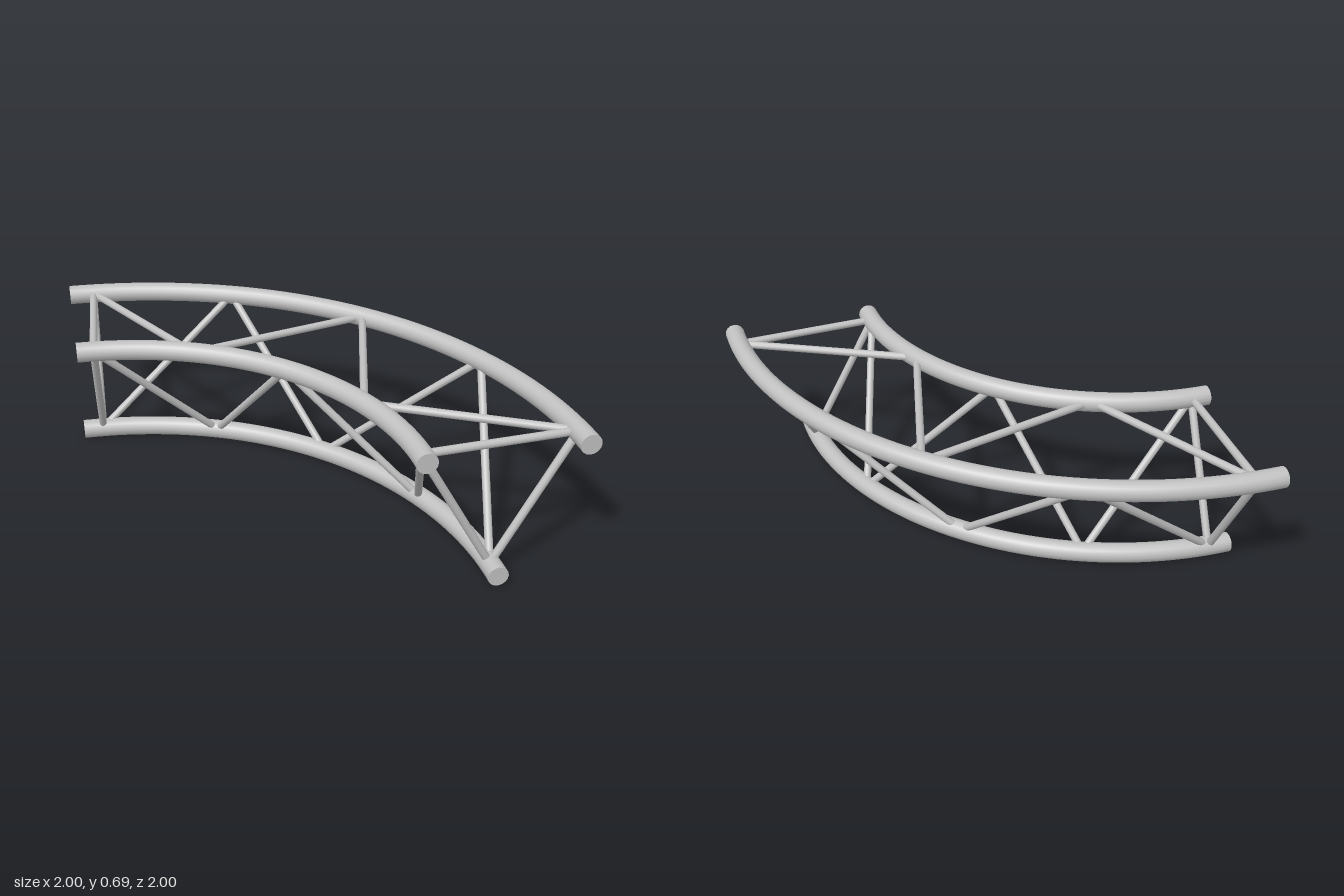
import * as THREE from 'three';

export function createModel() {
  const group = new THREE.Group();
  group.name = 'curvedTruss';
  const metal = new THREE.MeshStandardMaterial({ color: 0xc0c0c0 });
  metal.name = 'grey metal';

  const TUBE = 0.046, STRUT = 0.018;
  // Three quarter-circle chords about a common centre at x = -1, z = 1
  const chords = {
    outer: { r: 1.954, y: 0.64 },
    inner: { r: 1.274, y: 0.64 },
    bottom: { r: 1.614, y: TUBE },
  };

  const add = (name, geometry, parent = group) => {
    const mesh = new THREE.Mesh(geometry, metal);
    mesh.name = name;
    parent.add(mesh);
    return mesh;
  };

  // Main tubes with flat end caps
  for (const [name, { r, y }] of Object.entries(chords)) {
    const chord = new THREE.Group();
    chord.name = name + 'Chord';
    chord.position.set(-1, y, 1);
    group.add(chord);
    add(name + 'Tube', new THREE.TorusGeometry(r, TUBE, 16, 48, Math.PI / 2).rotateX(-Math.PI / 2), chord);
    add(name + 'FrontCap', new THREE.CircleGeometry(TUBE, 16), chord).position.set(r, 0, 0);
    add(name + 'LeftCap', new THREE.CircleGeometry(TUBE, 16).rotateY(-Math.PI / 2), chord).position.set(0, 0, -r);
  }

  // Five evenly spaced stations along the arc
  const station = (chord, i) => {
    const { r, y } = chords[chord];
    const a = 0.06 + (i * (Math.PI / 2 - 0.12)) / 4;
    return new THREE.Vector3(-1 + r * Math.sin(a), y, 1 - r * Math.cos(a));
  };

  const up = new THREE.Vector3(0, 1, 0);
  const strut = (name, from, to) => {
    const dir = to.clone().sub(from);
    const mesh = add(name, new THREE.CylinderGeometry(STRUT, STRUT, dir.length(), 12));
    mesh.position.copy(from).add(to).multiplyScalar(0.5);
    mesh.quaternion.setFromUnitVectors(up, dir.normalize());
  };

  // Each face: end struts plus a zigzag that starts on the first chord
  const faces = [
    ['top', 'outer', 'inner'],
    ['outerSide', 'bottom', 'outer'],
    ['innerSide', 'inner', 'bottom'],
  ];
  for (const [face, a, b] of faces) {
    for (const i of [0, 4]) strut(face + 'EndStrut', station(a, i), station(b, i));
    for (let i = 0; i < 4; i++) {
      const [p, q] = i % 2 ? [b, a] : [a, b];
      strut(face + 'Diagonal', station(p, i), station(q, i + 1));
    }
  }
  return group;
}
